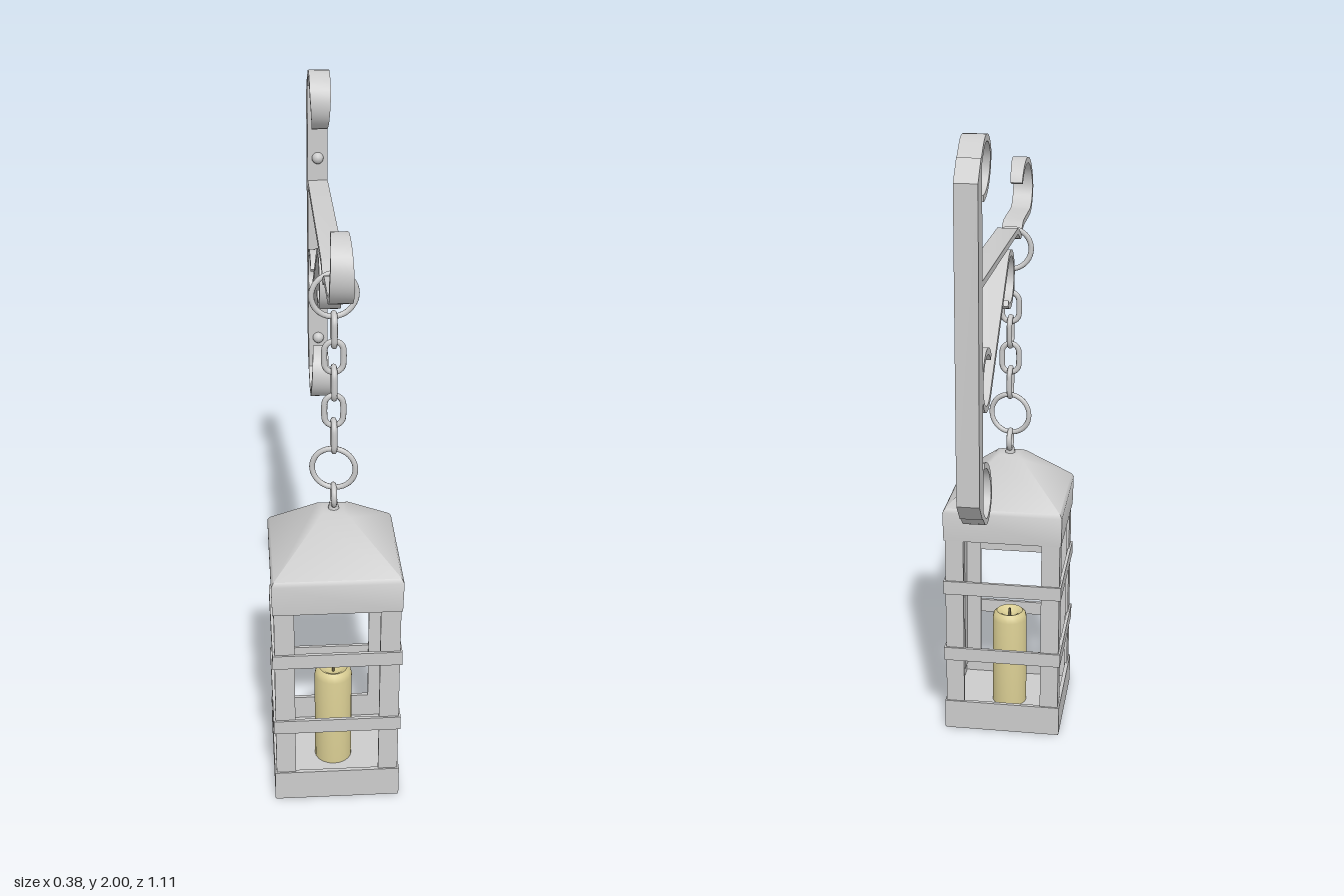
import * as THREE from 'three';
import { toCreasedNormals } from 'three/addons/utils/BufferGeometryUtils.js';

const metal = new THREE.MeshStandardMaterial({ color: 0xcccccc });
const wax = new THREE.MeshStandardMaterial({ color: 0xd8cc92 });
const wickMat = new THREE.MeshStandardMaterial({ color: 0x6b6248 });
const rad = THREE.MathUtils.degToRad;

function add(parent, name, geometry, x = 0, y = 0, z = 0, material = metal) {
  const mesh = new THREE.Mesh(geometry, material);
  mesh.name = name;
  mesh.position.set(x, y, z);
  parent.add(mesh);
  return mesh;
}

// Skin a list of four-cornered sections and close both ends
function loft(sections, crease) {
  const pos = [];
  const quad = (a, b, c, d) => [a, b, c, a, c, d].forEach((p) => pos.push(...p));
  for (let i = 0; i < sections.length - 1; i++) {
    const s = sections[i], t = sections[i + 1];
    for (let k = 0; k < 4; k++) quad(s[k], t[k], t[(k + 1) % 4], s[(k + 1) % 4]);
  }
  const e = sections[sections.length - 1];
  quad(...sections[0]);
  quad(e[3], e[2], e[1], e[0]);
  const g = new THREE.BufferGeometry();
  g.setAttribute('position', new THREE.Float32BufferAttribute(pos, 3));
  return toCreasedNormals(g, crease);
}

// Points [z, y] along an arc, angles in degrees
function arc(cz, cy, r, from, to) {
  const n = Math.ceil(Math.abs(to - from) / 12);
  return Array.from({ length: n + 1 }, (_, i) => {
    const a = rad(from + ((to - from) * i) / n);
    return [cz + r * Math.cos(a), cy + r * Math.sin(a)];
  });
}

// Flat iron strip following [z, y] points, narrowing to tipWidth over its last part
function strip(path, tipWidth = 0.031, thick = 0.009) {
  const last = path.length - 1;
  return loft(path.map(([z, y], i) => {
    const a = path[Math.max(i - 1, 0)], b = path[Math.min(i + 1, last)];
    const len = Math.hypot(b[0] - a[0], b[1] - a[1]);
    const nz = (-(b[1] - a[1]) / len) * thick, ny = ((b[0] - a[0]) / len) * thick;
    const w = THREE.MathUtils.lerp(0.031, tipWidth, Math.max(0, (i / last - 0.5) * 2));
    return [[-w, y + ny, z + nz], [w, y + ny, z + nz], [w, y - ny, z - nz], [-w, y - ny, z - nz]];
  }), 0.6);
}

// Oval chain link standing in the xy plane
function linkGeometry() {
  const pts = [];
  for (let i = 0; i < 24; i++) {
    const a = ((i + 0.5) / 24) * Math.PI * 2;
    pts.push(new THREE.Vector3(0.026 * Math.cos(a), 0.026 * Math.sin(a) + Math.sign(Math.sin(a)) * 0.02, 0));
  }
  return new THREE.TubeGeometry(new THREE.CatmullRomCurve3(pts, true), 40, 0.0085, 8, true);
}

// Four thin walls around a square
function squareBand(parent, name, half, y0, y1, t) {
  for (let i = 0; i < 4; i++) {
    const side = new THREE.Group();
    side.rotation.y = (i * Math.PI) / 2;
    parent.add(side);
    add(side, name, new THREE.BoxGeometry(half * 2 - (i % 2) * t * 2, y1 - y0, t), 0, (y0 + y1) / 2, half - t / 2);
  }
}

function buildBracket() {
  const g = new THREE.Group();
  g.name = 'wallBracket';

  // Upright bar with bevelled ends
  const outline = [[-0.49, 1.0], [-0.49, 1.95], [-0.505, 1.955], [-0.555, 1.9], [-0.555, 1.05], [-0.505, 0.995]];
  const shape = new THREE.Shape(outline.map(([z, y]) => new THREE.Vector2(-z, y)));
  const bar = new THREE.ExtrudeGeometry(shape, { depth: 0.062, bevelEnabled: false });
  bar.translate(0, 0, -0.031).rotateY(Math.PI / 2);
  add(g, 'wallBar', bar);

  // End scrolls, the lower one mirrored about the middle of the bar
  const scroll = [[-0.52, 1.925], ...arc(-0.413, 1.915, 0.077, 128, -88)];
  add(g, 'topScroll', strip(scroll, 0.022));
  const mirrored = scroll.map(([z, y]) => [z, 2.95 - y]);
  add(g, 'bottomScroll', strip(mirrored, 0.022));

  // Rivets
  for (const y of [1.84, 1.715, 1.555, 1.24, 1.115]) {
    add(g, 'rivet', new THREE.SphereGeometry(0.018, 12, 8), 0, y, -0.488);
  }

  // Arm with a notch for the ring and a curled tip
  add(g, 'arm', strip([
    [-0.5, 1.635], [0.19, 1.635], [0.21, 1.63], [0.25, 1.609], [0.262, 1.606], [0.274, 1.609],
    [0.31, 1.63], [0.33, 1.635], ...arc(0.47, 1.721, 0.081, -90, 165),
  ], 0.018));

  // Diagonal brace scrolled at both ends
  add(g, 'brace', strip([...arc(0.037, 1.525, 0.077, -130, 130), ...arc(-0.41, 1.357, 0.078, -50, -325)]));
  return g;
}

function buildChain() {
  const g = new THREE.Group();
  g.name = 'chain';
  const ring = new THREE.TorusGeometry(0.062, 0.008, 8, 40);
  add(g, 'upperRing', ring, 0, 1.566, 0).rotation.y = 0.12;
  add(g, 'lowerRing', ring, 0, 1.04, 0).rotation.y = -0.2;
  const link = linkGeometry();
  [1.465, 1.385, 1.307, 1.222, 1.143].forEach((y, i) => {
    add(g, 'chainLink', link, 0, y, 0).rotation.y = i % 2 ? 0 : Math.PI / 2;
  });
  return g;
}

function buildLantern() {
  const g = new THREE.Group();
  g.name = 'lantern';

  // Hollow hipped roof: up the inside, round the rim, up the outside
  const square = ([h, y]) => [[h, y, h], [-h, y, h], [-h, y, -h], [h, y, -h]];
  const roof = [
    [0.03, 0.89], [0.174, 0.755], [0.176, 0.672], [0.186, 0.67],
    [0.188, 0.765], [0.181, 0.778], [0.045, 0.902], [0.03, 0.91],
  ];
  add(g, 'roof', loft(roof.map(square), 1.15));

  // Hanging eye
  add(g, 'hangingEye', new THREE.TorusGeometry(0.029, 0.0085, 8, 28), 0, 0.953, 0).rotation.y = Math.PI / 2;
  add(g, 'eyeStem', new THREE.CylinderGeometry(0.012, 0.018, 0.03, 10), 0, 0.915, 0);

  // Angle-iron corner posts
  const t = 0.01, leg = 0.058, h = 0.182;
  for (let i = 0; i < 4; i++) {
    const post = new THREE.Group();
    post.name = 'cornerPost';
    post.rotation.y = (i * Math.PI) / 2;
    g.add(post);
    add(post, 'postFrontLeg', new THREE.BoxGeometry(leg, 0.65, t), h - leg / 2, 0.375, h - t / 2);
    add(post, 'postSideLeg', new THREE.BoxGeometry(t, 0.65, leg - t), h - t / 2, 0.375, h - t - (leg - t) / 2);
  }

  // Cross bands and base tray
  squareBand(g, 'upperBand', 0.188, 0.485, 0.53, 0.01);
  squareBand(g, 'lowerBand', 0.188, 0.25, 0.295, 0.01);
  squareBand(g, 'trayWall', 0.187, 0.005, 0.1, 0.012);
  add(g, 'trayFloor', new THREE.BoxGeometry(0.37, 0.02, 0.37), 0, 0.01, 0);

  // Candle with a softened rim and a melted hollow
  const profile = [[0, 0.02], [0.057, 0.02], [0.057, 0.325], [0.053, 0.342], [0.043, 0.351], [0.033, 0.347], [0.02, 0.335], [0, 0.332]];
  const candle = new THREE.LatheGeometry(profile.map(([r, y]) => new THREE.Vector2(r, y)), 20);
  add(g, 'candle', toCreasedNormals(candle.toNonIndexed(), 0.9), 0, 0, 0, wax);
  add(g, 'wick', new THREE.CylinderGeometry(0.004, 0.004, 0.03, 6), 0, 0.342, 0, wickMat);
  return g;
}

export function createModel() {
  const model = new THREE.Group();
  model.name = 'hangingLantern';
  const chain = buildChain(), lantern = buildLantern();
  chain.position.z = lantern.position.z = 0.262;
  model.add(buildBracket(), chain, lantern);
  return model;
}
